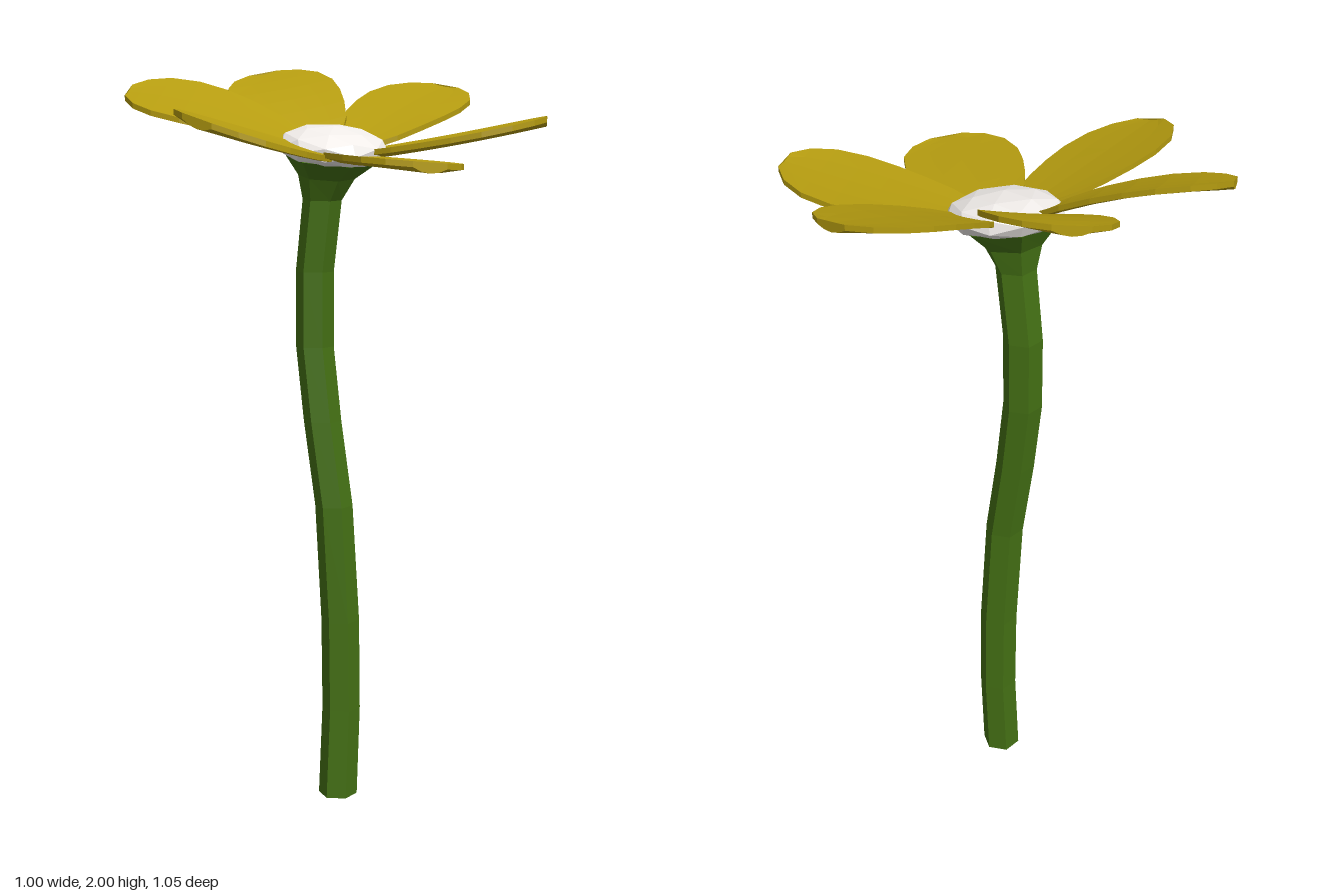
import * as THREE from 'three';

const mat = (color) => new THREE.MeshStandardMaterial({ color, flatShading: true });

// Closed skin over cross-section loops; each loop is an array of [x, y, z]
function skin(loops) {
  const n = loops[0].length, idx = [];
  for (let i = 0; i < loops.length - 1; i++)
    for (let j = 0; j < n; j++) {
      const a = i * n + j, b = i * n + (j + 1) % n;
      idx.push(a, b, a + n, b, b + n, a + n);
    }
  const last = (loops.length - 1) * n;
  for (let j = 1; j < n - 1; j++) {
    idx.push(0, j + 1, j);
    idx.push(last, last + j, last + j + 1);
  }
  const g = new THREE.BufferGeometry();
  g.setAttribute('position', new THREE.Float32BufferAttribute(loops.flat(2), 3));
  g.setIndex(idx);
  g.computeVertexNormals();
  return g;
}

const CX = -0.005, CZ = -0.022, SLOPE = 0.2; // flower centre and its forward tilt

// Stem: hexagonal rings [x, y, z, radius, tilt], flaring into the calyx
function stemGeometry() {
  const rings = [
    [-0.005, 0, 0, 0.053, 0], [0.005, 0.25, 0, 0.052, 0], [0.004, 0.5, -0.004, 0.052, 0],
    [-0.01, 0.82, -0.015, 0.051, 0], [-0.03, 1.05, -0.045, 0.051, 0], [-0.042, 1.25, -0.068, 0.051, 0],
    [-0.04, 1.45, -0.072, 0.051, 0], [-0.027, 1.64, -0.052, 0.052, 0.05],
    [-0.02, 1.7, -0.04, 0.075, 0.15], [-0.01, 1.75, -0.03, 0.125, SLOPE],
  ];
  return skin(rings.map(([x, y, z, r, tilt]) =>
    Array.from({ length: 6 }, (_, k) => {
      const a = k * Math.PI / 3;
      const dz = Math.cos(a) * r;
      return [x + Math.sin(a) * r, y - tilt * dz, z + dz];
    })));
}

// Petal: rows from base to tip, following a bent and rolled centre line
function petalGeometry({ angle, length, base, mid, tip, roll }) {
  const a = THREE.MathUtils.degToRad(angle);
  const rows = [[0.1, 0.04], [0.28, 0.098], [0.42, 0.124], [0.56, 0.142], [0.7, 0.15],
    [0.84, 0.137], [0.94, 0.1], [1, 0.045]];
  const across = [-1, -0.5, 0, 0.5, 1];
  return skin(rows.map(([t, w]) => {
    const u = (t - 0.1) / 0.9;
    const y = base * (1 - u) * (1 - 2 * u) + mid * 4 * u * (1 - u) + tip * u * (2 * u - 1);
    const point = (s, side) => [
      CX + Math.sin(a) * t * length + Math.cos(a) * s * w,
      y + roll * s * w / 0.15 + 0.008 * s * s + side * (0.011 - 0.004 * s * s),
      CZ + Math.cos(a) * t * length - Math.sin(a) * s * w,
    ];
    return [...across.map((s) => point(s, -1)), ...across.slice().reverse().map((s) => point(s, 1))].reverse();
  }));
}

export function createModel() {
  const model = new THREE.Group();
  const add = (name, geometry, material, parent = model) => {
    const mesh = new THREE.Mesh(geometry, material);
    mesh.name = name;
    parent.add(mesh);
    return mesh;
  };

  add('stem', stemGeometry(), mat(0x447014));

  // Six petals, rising towards the back
  const petals = new THREE.Group();
  petals.name = 'petals';
  model.add(petals);
  const yellow = mat(0xb59c10);
  yellow.side = THREE.DoubleSide;
  [
    { name: 'frontPetal', angle: 0, length: 0.545, base: 1.745, mid: 1.738, tip: 1.728, roll: -0.01 },
    { name: 'frontLeftPetal', angle: 60, length: 0.55, base: 1.752, mid: 1.79, tip: 1.84, roll: 0.006 },
    { name: 'backLeftPetal', angle: 120, length: 0.54, base: 1.765, mid: 1.865, tip: 1.935, roll: 0.025 },
    { name: 'backPetal', angle: 180, length: 0.5, base: 1.775, mid: 1.893, tip: 1.97, roll: -0.028 },
    { name: 'backRightPetal', angle: 240, length: 0.545, base: 1.765, mid: 1.865, tip: 1.91, roll: -0.05 },
    { name: 'frontRightPetal', angle: 300, length: 0.55, base: 1.752, mid: 1.79, tip: 1.83, roll: -0.042 },
  ].forEach((p) => add(p.name, petalGeometry(p), yellow, petals));

  // Faceted flattened dome in the middle
  const dome = add('flowerCentre', new THREE.IcosahedronGeometry(1, 1), mat(0xefebe8));
  dome.scale.set(0.148, 0.055, 0.145);
  dome.rotation.x = Math.atan(SLOPE);
  dome.position.set(CX - 0.003, 1.778, CZ - 0.003);

  return model;
}
